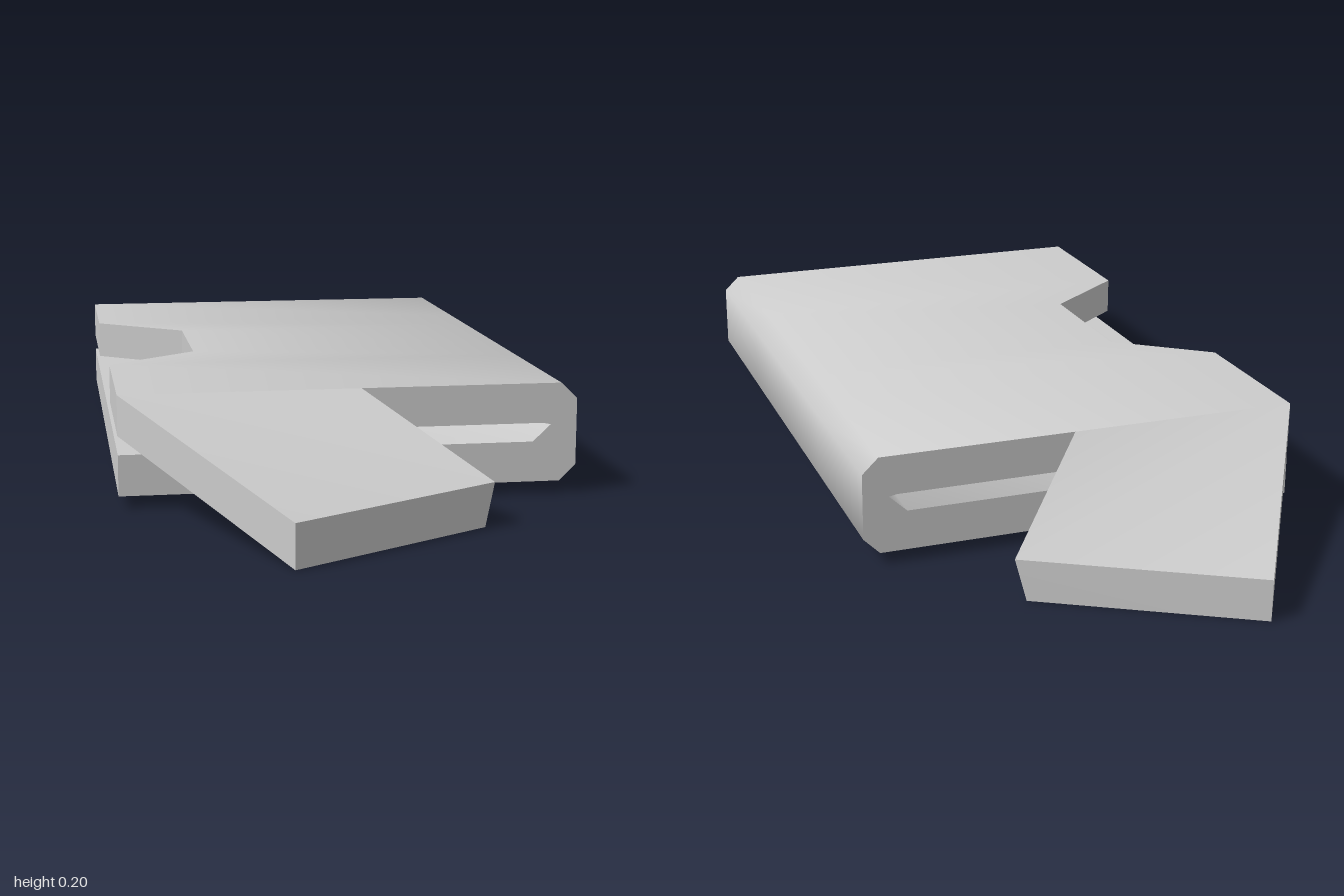
import * as THREE from 'three';
import { toCreasedNormals } from 'three/addons/utils/BufferGeometryUtils.js';

const material = new THREE.MeshStandardMaterial({ color: 0xcccccc });
const CREASE = 0.87; // keeps the 45 degree chamfers soft
const LEFT = -0.415, HALF = 0.58;

// Folded plate: a sideways U profile swept along z, with a notch in the upper leaf
function foldedPlate() {
  const profile = [
    [LEFT, 0.022], [0.383, 0.022], [0.413, 0.052], [0.413, 0.174], [0.383, 0.203],
    [LEFT, 0.203], [LEFT, 0.13], [0.35, 0.13], [0.365, 0.127], [0.332, 0.096], [LEFT, 0.096],
  ];
  const shape = new THREE.Shape(profile.map(([x, y]) => new THREE.Vector2(x, y)));
  const stations = [-HALF, -0.27, -0.138, 0.138, 0.27, HALF];
  const upperEdge = [LEFT, LEFT, -0.243, -0.243, LEFT, LEFT];
  const geometry = new THREE.ExtrudeGeometry(shape, { depth: 5, steps: 5, bevelEnabled: false });
  const p = geometry.attributes.position;
  for (let i = 0; i < p.count; i++) {
    const k = Math.round(p.getZ(i));
    p.setZ(i, stations[k]);
    if (p.getX(i) < -0.4 && p.getY(i) > 0.12) p.setX(i, upperEdge[k]);
  }
  return toCreasedNormals(geometry, CREASE);
}

// Bent ear: upper and lower corners joined into a slab that slopes to the ground
function ear(side) {
  const upper = [[LEFT, 0.203, HALF], [-0.163, 0.075, 0.997], [0.208, 0.075, 0.785], [0.017, 0.203, HALF]];
  const lower = [[LEFT, 0.13, HALF], [-0.163, 0, 0.997], [0.19, 0, 0.795], [0.01, 0.13, HALF]];
  const points = [...upper, ...lower].flatMap(([x, y, z]) => [x, y, z * side]);
  const index = [0, 1, 2, 0, 2, 3, 4, 6, 5, 4, 7, 6];
  for (let i = 0; i < 3; i++) index.push(i + 4, i + 5, i + 1, i + 4, i + 1, i);
  if (side < 0) index.reverse(); // mirrored, so the corners run the other way
  const geometry = new THREE.BufferGeometry();
  geometry.setAttribute('position', new THREE.Float32BufferAttribute(points, 3));
  geometry.setIndex(index);
  return toCreasedNormals(geometry, CREASE);
}

export function createModel() {
  const group = new THREE.Group();
  group.name = 'foldedClip';
  const add = (name, geometry) => {
    const mesh = new THREE.Mesh(geometry, material);
    mesh.name = name;
    group.add(mesh);
  };
  add('foldedPlate', foldedPlate());
  add('frontEar', ear(1));
  add('backEar', ear(-1));
  return group;
}
